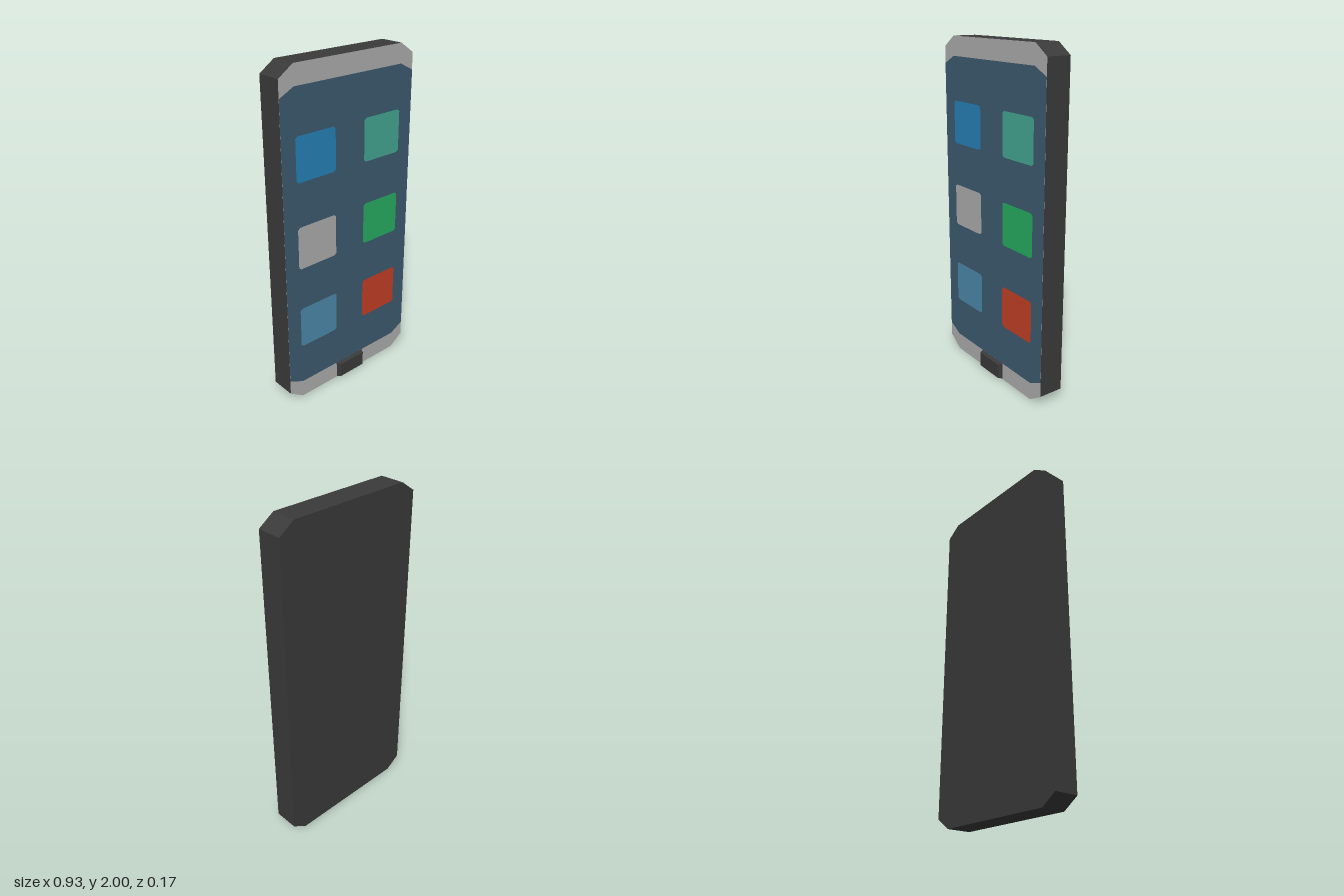
import * as THREE from 'three';

const material = (name, color) => {
  const m = new THREE.MeshStandardMaterial({ color });
  m.name = name;
  return m;
};

// Rectangle with cut corners, cx wide and cy tall
function cutRect(x0, x1, y0, y1, cx, cy) {
  return new THREE.Shape([
    [x0 + cx, y0], [x1 - cx, y0], [x1, y0 + cy], [x1, y1 - cy],
    [x1 - cx, y1], [x0 + cx, y1], [x0, y1 - cy], [x0, y0 + cy],
  ].map(([x, y]) => new THREE.Vector2(x, y)));
}

export function createModel() {
  const group = new THREE.Group();
  group.name = 'phone';

  const casing = material('casing black', 0x3a3a3a);
  const bezel = material('bezel grey', 0xaeaeae);
  const screen = material('screen slate', 0x3c5b6f);
  const blue = material('icon blue', 0x2681b8);
  const teal = material('icon teal', 0x44a793);
  const green = material('icon green', 0x27ae61);
  const sky = material('icon sky', 0x4c89ab);
  const red = material('icon red', 0xc44026);

  const add = (name, geometry, mat, z) => {
    const mesh = new THREE.Mesh(geometry, mat);
    mesh.name = name;
    mesh.position.z = z;
    group.add(mesh);
    return mesh;
  };

  // Slab with cut corners
  const outline = cutRect(-0.467, 0.467, 0, 2, 0.092, 0.063);
  add('casing', new THREE.ExtrudeGeometry(outline, { depth: 0.148, bevelEnabled: false }), casing, -0.087);

  // Front faces, layered just above the slab
  add('bezel', new THREE.ShapeGeometry(outline), bezel, 0.062);
  add('screen', new THREE.ShapeGeometry(cutRect(-0.467, 0.467, 0.107, 1.887, 0.092, 0.047)), screen, 0.063);

  // Two columns of three icons, top row first
  const icons = [[blue, teal], [bezel, green], [sky, red]];
  icons.forEach((row, r) => row.forEach((mat, c) => {
    const icon = new THREE.ShapeGeometry(cutRect(-0.135, 0.135, -0.127, 0.127, 0.014, 0.012));
    const mesh = add(`icon${r + 1}${c ? 'Left' : 'Right'}`, icon, mat, 0.064);
    mesh.position.set(c ? 0.239 : -0.241, 1.505 - r * 0.51, 0.064);
  }));

  // Home button, tapering toward its face
  const button = new THREE.BoxGeometry(0.21, 0.102, 0.026);
  const p = button.attributes.position;
  for (let i = 0; i < p.count; i++) {
    if (p.getZ(i) > 0) p.setXY(i, p.getX(i) * 0.9, p.getY(i) * 0.88);
  }
  button.computeVertexNormals();
  add('homeButton', button, casing, 0.074).position.y = 0.055;

  return group;
}
